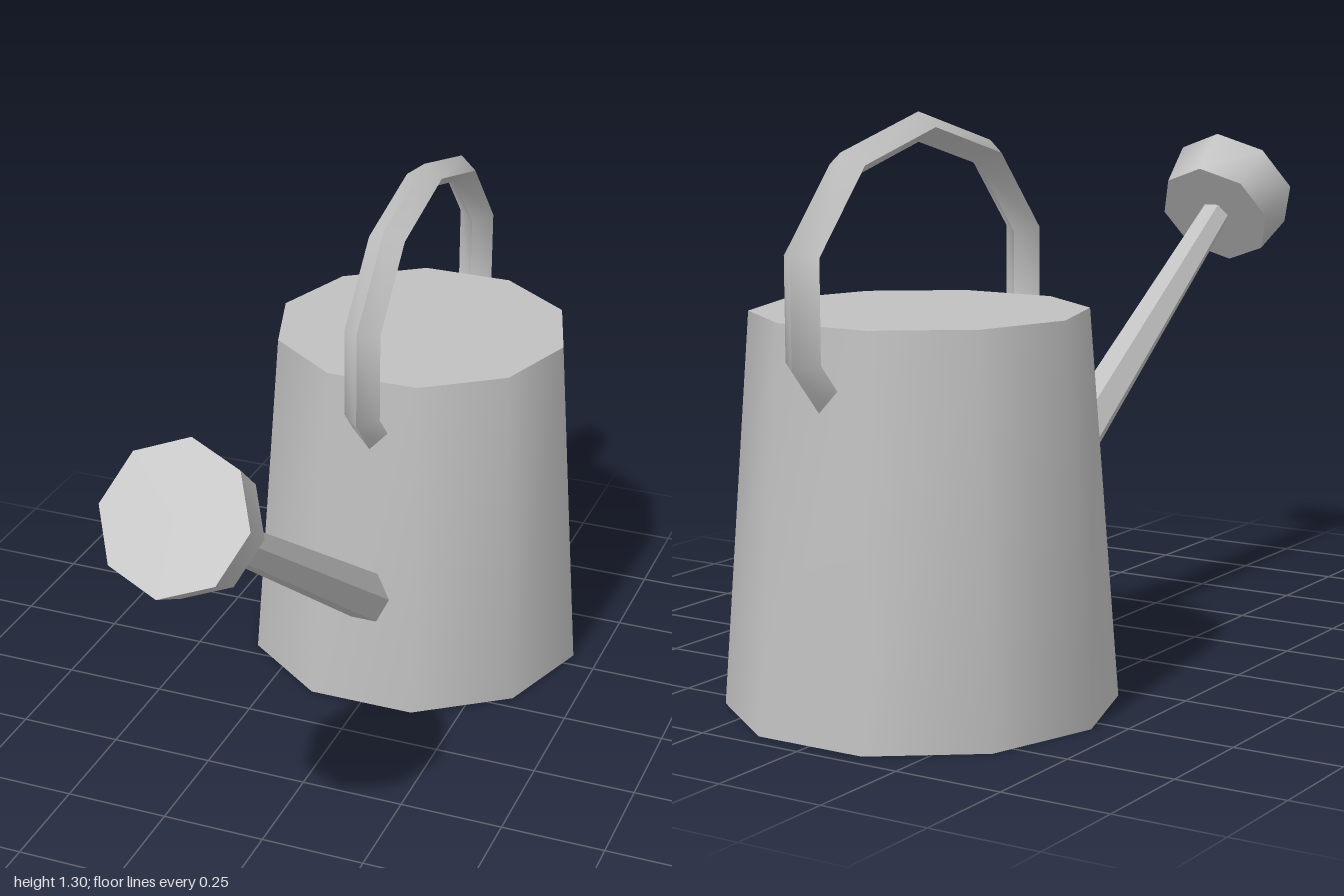
import * as THREE from 'three';
import { toCreasedNormals } from 'three/addons/utils/BufferGeometryUtils.js';

const CREASE = THREE.MathUtils.degToRad(50);
const BODY_Z = -0.545;

export function createModel() {
  const group = new THREE.Group();
  const metal = new THREE.MeshStandardMaterial({ color: 0xc0c0c0 });
  metal.name = 'greyMetal';

  const add = (name, geometry) => {
    const mesh = new THREE.Mesh(toCreasedNormals(geometry, CREASE), metal);
    mesh.name = name;
    group.add(mesh);
    return mesh;
  };

  // Tapered prism between two points [y, z] on the centre plane, with corners on the x axis
  const taper = (name, [y0, z0], [y1, z1], r0, r1, sides) => {
    const length = Math.hypot(y1 - y0, z1 - z0);
    const geometry = new THREE.CylinderGeometry(r1, r0, length, sides, 1, false, Math.PI / 2);
    const mesh = add(name, geometry);
    mesh.rotation.x = Math.atan2(z1 - z0, y1 - y0);
    mesh.position.set(0, (y0 + y1) / 2, (z0 + z1) / 2);
    return mesh;
  };

  // Ten-sided closed can
  taper('body', [0, BODY_Z], [0.87, BODY_Z], 0.434, 0.369, 10);

  // Six-sided spout, its root hidden in the body
  taper('spout', [0.197, -0.3], [0.985, 0.811], 0.069, 0.038, 6);

  // Eight-sided sprinkler head
  taper('sprinklerHead', [0.978, 0.8], [1.05, 0.905], 0.15, 0.166, 8);

  // Flattened ring handle with a diamond section, its lower part inside the body
  const ring = new THREE.TorusGeometry(0.49, 0.045, 4, 10);
  ring.rotateZ(Math.PI / 2);
  ring.rotateY(Math.PI / 2);
  ring.scale(1, 0.72, 0.888);
  add('handle', ring).position.set(0, 0.91, BODY_Z);

  return group;
}
